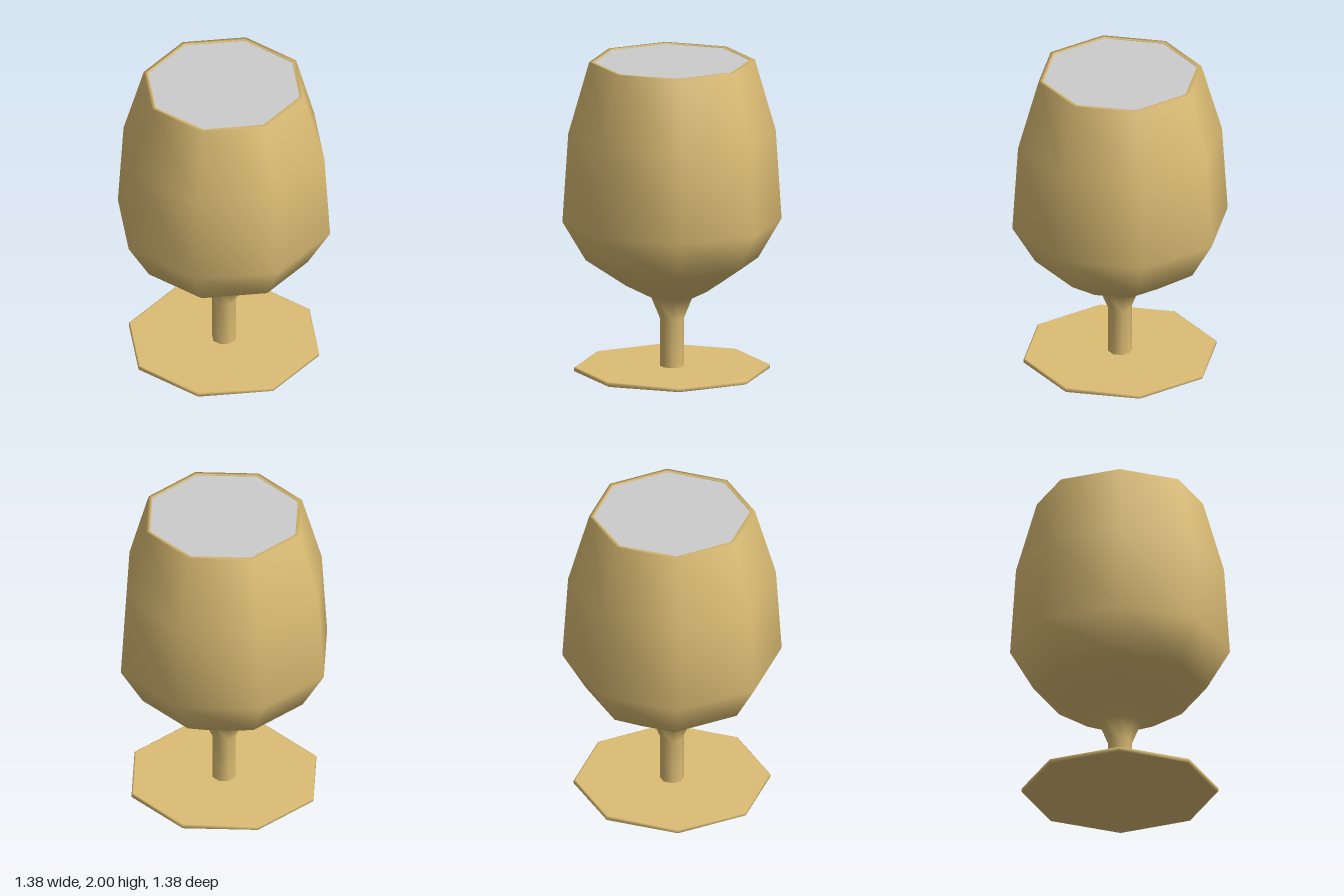
import * as THREE from 'three';

const SIDES = 8;

export function createModel() {
  const group = new THREE.Group();
  const gold = new THREE.MeshStandardMaterial({ color: 0xdcbd74 });
  const grey = new THREE.MeshStandardMaterial({ color: 0xcccccc });

  // Eight-sided smooth turning of a bottom-to-top profile of [radius, height]
  const turn = (name, profile) => {
    const points = profile.map(([r, y]) => new THREE.Vector2(r, y));
    const mesh = new THREE.Mesh(new THREE.LatheGeometry(points, SIDES), gold);
    mesh.name = name;
    group.add(mesh);
  };

  // Thin flat foot
  turn('foot', [[0, 0], [0.61, 0], [0.62, 0.005], [0.62, 0.025], [0.61, 0.03], [0.075, 0.03]]);

  // Stem flaring into the bowl, closing to a narrow rim with an inner lip
  turn('stemAndBowl', [
    [0.077, 0.03], [0.077, 0.34], [0.13, 0.47], [0.29, 0.55], [0.545, 0.72],
    [0.692, 0.97], [0.655, 1.54], [0.523, 2], [0.495, 2], [0.495, 1.99],
  ]);

  // Flat surface filling the mouth of the bowl
  const fill = new THREE.Mesh(new THREE.CircleGeometry(0.495, SIDES), grey);
  fill.name = 'fillSurface';
  fill.rotation.x = -Math.PI / 2;
  fill.position.y = 1.993;
  group.add(fill);

  return group;
}
